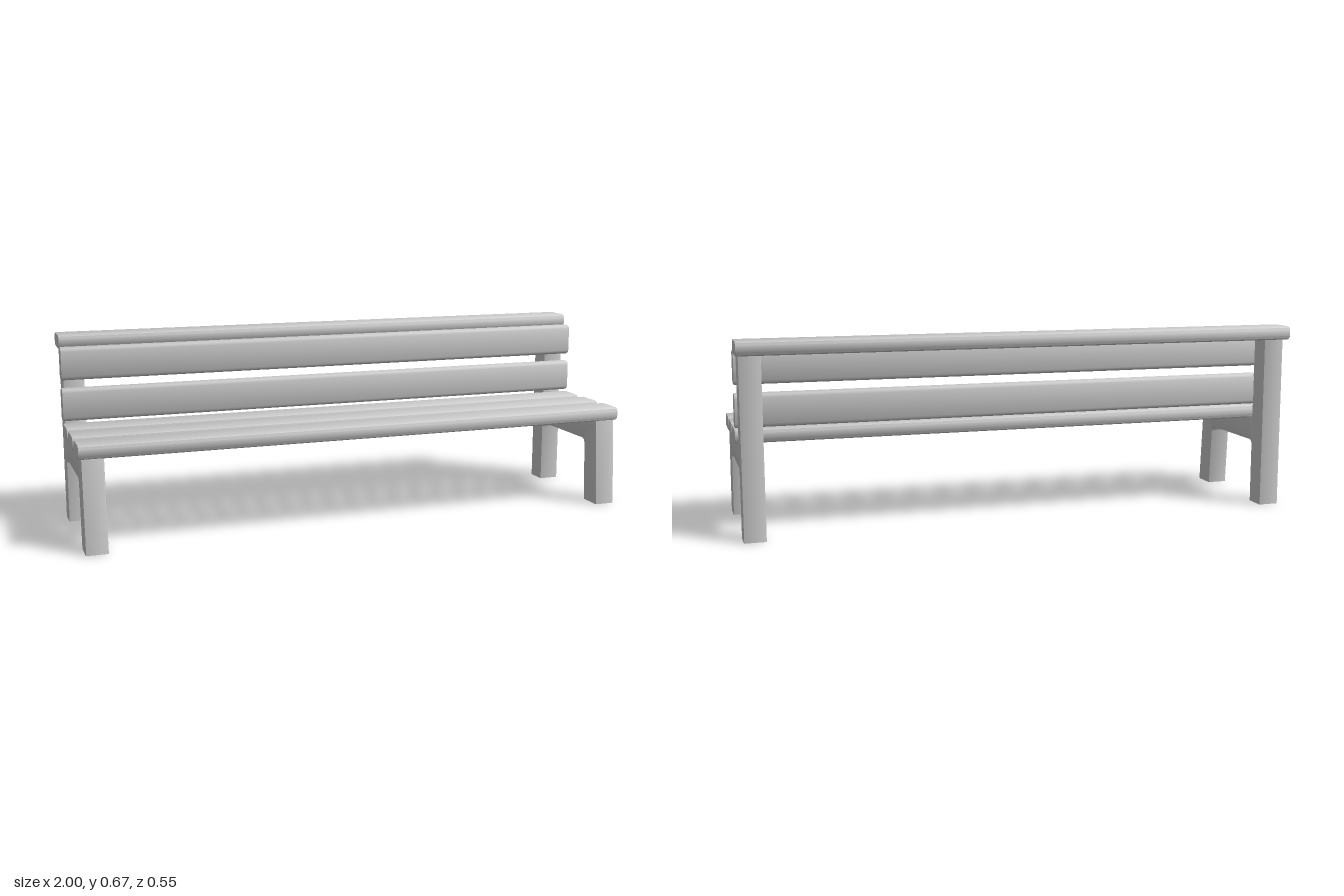
import * as THREE from 'three';
import { toCreasedNormals } from 'three/addons/utils/BufferGeometryUtils.js';

const material = new THREE.MeshStandardMaterial({ color: 0xcccccc });
const BEVEL = 0.004;

// Extrude a (z, y) side profile along x, centred, with bevelled ends inside the outline
function extrudeAlongX(shape, width) {
  const geo = new THREE.ExtrudeGeometry(shape, {
    depth: width - 2 * BEVEL, curveSegments: 5,
    bevelEnabled: true, bevelThickness: BEVEL, bevelSize: BEVEL, bevelOffset: -BEVEL, bevelSegments: 2,
  });
  geo.translate(0, 0, -(width - 2 * BEVEL) / 2);
  geo.rotateY(-Math.PI / 2);
  return geo;
}

// Plank cross-section with softened corners
function plankShape(w, h) {
  const a = w / 2, b = h / 2;
  const corner = [[a, b - 0.014], [a - 0.004, b - 0.005], [a - 0.014, b]];
  const points = [];
  for (const [sx, sy] of [[1, 1], [-1, 1], [-1, -1], [1, -1]]) {
    const part = corner.map(([x, y]) => new THREE.Vector2(x * sx, y * sy));
    points.push(...(sx * sy > 0 ? part : part.reverse()));
  }
  return new THREE.Shape(points);
}

// One-piece end frame: front leg, seat bearer and back post
function frameGeometry() {
  const s = new THREE.Shape();
  s.moveTo(0.273, -0.02);
  s.lineTo(0.273, 0);
  s.lineTo(0.25, 0.315);
  s.quadraticCurveTo(0.249, 0.324, 0.24, 0.324);
  s.lineTo(-0.143, 0.324);
  s.quadraticCurveTo(-0.158, 0.324, -0.158, 0.339);
  s.lineTo(-0.158, 0.63);
  s.lineTo(-0.237, 0.63);
  s.lineTo(-0.237, -0.02);
  s.lineTo(-0.158, -0.02);
  s.lineTo(-0.158, 0.215);
  s.quadraticCurveTo(-0.158, 0.234, -0.139, 0.234);
  s.lineTo(0.152, 0.234);
  s.quadraticCurveTo(0.169, 0.234, 0.17, 0.215);
  s.lineTo(0.184, 0);
  s.lineTo(0.184, -0.02);
  s.closePath();
  const geo = extrudeAlongX(s, 0.075);

  // Cut the feet level with the ground and leave them open underneath
  const p = geo.attributes.position;
  const kept = [];
  for (let i = 0; i < p.count; i += 3) {
    const ys = [0, 1, 2].map((k) => Math.max(p.getY(i + k), 0));
    if (Math.max(...ys) < 1e-5) continue;
    for (let k = 0; k < 3; k++) kept.push(p.getX(i + k), ys[k], p.getZ(i + k));
  }
  const open = new THREE.BufferGeometry();
  open.setAttribute('position', new THREE.Float32BufferAttribute(kept, 3));
  return toCreasedNormals(open, 0.7);
}

export function createModel() {
  const bench = new THREE.Group();
  bench.name = 'bench';

  const add = (name, geometry, x, y, z) => {
    const mesh = new THREE.Mesh(geometry, material);
    mesh.name = name;
    mesh.position.set(x, y, z);
    bench.add(mesh);
  };

  // End frames
  const frame = frameGeometry();
  add('leftFrame', frame, 0.9525, 0, 0);
  add('rightFrame', frame, -0.9525, 0, 0);

  // Seat slats and top rail lie flat, back slats stand upright
  const flat = toCreasedNormals(extrudeAlongX(plankShape(0.114, 0.049), 2), 0.7);
  const upright = toCreasedNormals(extrudeAlongX(plankShape(0.048, 0.115), 2), 0.7);
  [0.205, 0.061, -0.083].forEach((z, i) => add(`seatSlat${i + 1}`, flat, 0, 0.341, z));
  [0.431, 0.576].forEach((y, i) => add(`backSlat${i + 1}`, upright, 0, y, -0.139));
  add('topRail', flat, 0, 0.648, -0.215);

  return bench;
}
